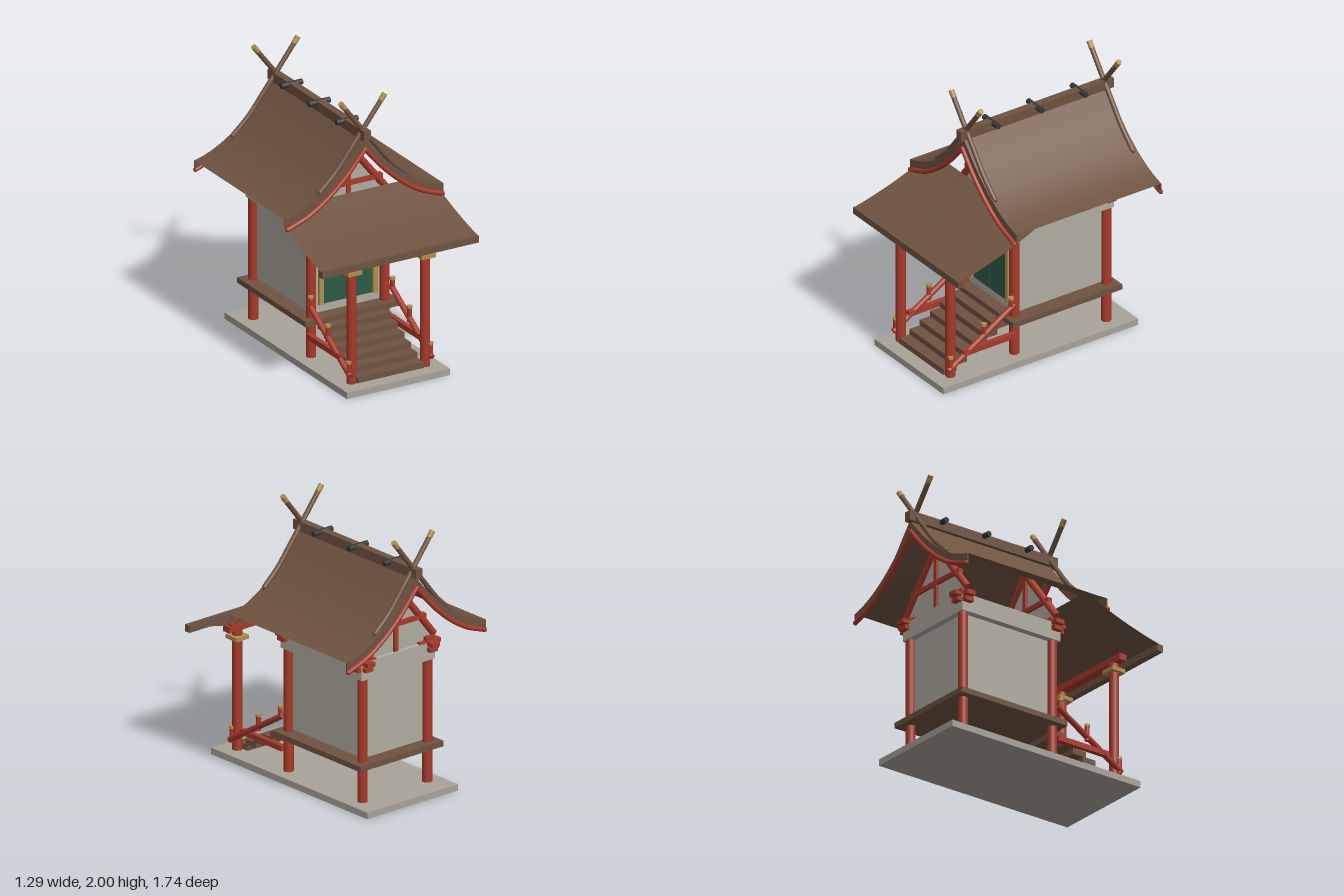
import * as THREE from 'three';

const mat = (name, color, side = THREE.FrontSide) => {
  const m = new THREE.MeshStandardMaterial({ color, side });
  m.name = name;
  return m;
};

export function createModel() {
  const root = new THREE.Group();
  root.name = 'shrine';
  root.rotation.y = 0.008;

  const red = mat('vermilion wood', 0xa83a2a);
  const brown = mat('brown wood', 0x6e5340, THREE.DoubleSide);
  const plaster = mat('pale plaster', 0xb0aca0, THREE.DoubleSide);
  const stone = mat('stone', 0xa8a398);
  const gold = mat('gold metal', 0xb0904a);
  const green = mat('green door paint', 0x2c5a45);
  const dark = mat('dark wood', 0x333836);

  const V = (x, y, z) => new THREE.Vector3(x, y, z);
  const add = (name, geo, m, x = 0, y = 0, z = 0) => {
    const mesh = new THREE.Mesh(geo, m);
    mesh.name = name;
    mesh.position.set(x, y, z);
    root.add(mesh);
    return mesh;
  };
  // box given by its min and max on every axis
  const box = (name, m, x0, x1, y0, y1, z0, z1) =>
    add(name, new THREE.BoxGeometry(x1 - x0, y1 - y0, z1 - z0), m,
      (x0 + x1) / 2, (y0 + y1) / 2, (z0 + z1) / 2);
  // round bar between two points
  const bar = (name, m, a, b, r, sides = 16) => {
    const d = b.clone().sub(a);
    const mesh = add(name, new THREE.CylinderGeometry(r, r, d.length(), sides), m,
      ...a.clone().add(b).multiplyScalar(0.5).toArray());
    mesh.quaternion.setFromUnitVectors(V(0, 1, 0), d.normalize());
    return mesh;
  };
  // curved pole with rounded ends
  const pole = (name, m, pts, r) => {
    add(name, new THREE.TubeGeometry(new THREE.CatmullRomCurve3(pts), 24, r, 10), m);
    for (const p of [pts[0], pts[pts.length - 1]])
      add(name + 'End', new THREE.SphereGeometry(r, 10, 8), m, p.x, p.y, p.z);
  };

  const FRONT = 0.16, BACK = -0.615, PX = 0.295;

  // platform, deck and walls
  box('platform', stone, -0.413, 0.413, 0, 0.048, -0.8, 0.84);
  box('deck', brown, -0.38, 0.38, 0.305, 0.345, -0.69, 0.23);
  box('wall', plaster, -0.285, 0.285, 0.358, 0.955, BACK + 0.01, FRONT - 0.01);
  box('wallPlate', plaster, -0.335, 0.335, 0.955, 1.085, -0.652, 0.2);

  // doors with gold jambs
  for (const s of [-1, 1]) {
    const door = box('door', green, 0, 0.193, 0.418, 0.887, FRONT - 0.01, FRONT - 0.002);
    door.position.x = s * 0.1;
    const jamb = box('doorJamb', gold, 0, 0.035, 0.415, 0.892, FRONT - 0.01, FRONT + 0.012);
    jamb.position.x = s * 0.216;
  }

  for (const s of [-1, 1]) {
    const x = s * PX;
    // main pillars with crossed bracket arms
    for (const z of [FRONT, BACK]) {
      bar('pillar', red, V(x, 0.045, z), V(x, 0.957, z), 0.035, 20);
      for (const [y, half] of [[1.038, 0.075], [1.08, 0.095]]) {
        box('bracketArm', red, x - half, x + half, y - 0.016, y + 0.016, z - 0.035, z + 0.035);
        box('bracketArm', red, x - 0.035, x + 0.035, y - 0.015, y + 0.015, z - half, z + half);
      }
      box('bracketBlock', red, x - 0.035, x + 0.035, 1.09, 1.125, z - 0.035, z + 0.035);
      // gable brace
      bar('gableBrace', red, V(s * 0.35, 1.13, z), V(0, 1.57, z), 0.026);
    }
    // porch pillars with gold capitals
    bar('porchPillar', red, V(x, 0.045, 0.7), V(x, 0.94, 0.7), 0.035, 20);
    box('porchCapital', gold, x - 0.056, x + 0.056, 0.866, 0.895, 0.643, 0.757);

    // stair railing
    const rx = s * 0.328;
    bar('handrail', red, V(rx, 0.115, 0.74), V(rx, 0.455, 0.185), 0.021);
    box('lowerRail', red, rx - 0.018, rx + 0.018, 0.195, 0.235, 0.18, 0.62);
    for (const [z, y0, y1] of [[0.72, 0.1, 0.205], [0.44, 0.27, 0.375], [0.21, 0.43, 0.505]]) {
      bar('railPost', red, V(rx, y0, z), V(rx, y1, z), 0.017, 12);
      bar('railPostCap', gold, V(rx, y1, z), V(rx, y1 + 0.018, z), 0.02, 12);
    }
  }
  box('porchBeam', red, -0.395, 0.395, 0.935, 0.982, 0.668, 0.732);

  // stairs
  for (let i = 0; i < 6; i++) {
    const z = 0.735 - i * 0.086, y = 0.048 + i * 0.043;
    box('step', brown, -0.265, 0.265, y, y + 0.043, z - 0.11, z);
  }

  // gable ends
  for (const z of [FRONT, BACK]) {
    const tri = new THREE.Shape([[-0.34, 1.08], [0.34, 1.08], [0.34, 1.13], [0, 1.57], [-0.34, 1.13]]
      .map(p => new THREE.Vector2(...p)));
    add('gableWall', new THREE.ShapeGeometry(tri), plaster, 0, 0, z);
    box('gableCollar', red, -0.27, 0.27, 1.268, 1.302, z - 0.02, z + 0.02);
    box('kingPost', red, -0.016, 0.016, 1.085, 1.515, z - 0.018, z + 0.018);
  }

  // main roof: two concave sheets
  const HALF = 0.635, roofY = x => 1.69 - 1.264 * Math.abs(x) + 0.826 * x * x;
  const Z0 = -0.84, Z1 = 0.38;
  for (const s of [-1, 1]) {
    const g = new THREE.PlaneGeometry(HALF, Z1 - Z0, 20, 1).rotateX(-Math.PI / 2);
    g.translate(s * HALF / 2, 0, (Z0 + Z1) / 2);
    const p = g.attributes.position;
    for (let i = 0; i < p.count; i++) p.setY(i, roofY(p.getX(i)));
    g.computeVertexNormals();
    add('roofSlope', g, brown);
  }

  // gable edges: brown fascia above a red bargeboard
  const xs = Array.from({ length: 33 }, (_, i) => -HALF + (2 * HALF * i) / 32);
  const strip = new THREE.Shape([
    ...xs.map(x => new THREE.Vector2(x, roofY(x) - 0.065)),
    ...xs.slice().reverse().map(x => new THREE.Vector2(x, roofY(x))),
  ]);
  for (const [z, tz] of [[Z1 - 0.008, 0.39], [Z0, -0.842]]) {
    add('roofFascia', new THREE.ExtrudeGeometry(strip, { depth: 0.008, bevelEnabled: false }), brown, 0, 0, z);
    for (const s of [-1, 1]) {
      const pts = [0, 0.15, 0.3, 0.45, 0.622].map(x => V(s * x, roofY(x) - 0.074, tz));
      pole('bargeboard', red, pts, 0.017);
    }
  }

  // porch roof sheet with eave board
  const porch = new THREE.PlaneGeometry(2 * 0.628, 0.65, 1, 16).rotateX(-Math.PI / 2);
  porch.translate(0, 0, 0.525);
  const pp = porch.attributes.position;
  for (let i = 0; i < pp.count; i++) {
    const t = (pp.getZ(i) - 0.2) / 0.65;
    pp.setY(i, 1.222 - 0.3 * t + 0.083 * t * t);
  }
  porch.computeVertexNormals();
  add('porchRoof', porch, brown);
  box('porchEave', brown, -0.628, 0.628, 0.955, 1.006, 0.818, 0.867);

  // ridge beam with cross logs
  box('ridgeBeam', brown, -0.028, 0.028, 1.69, 1.762, -0.87, 0.42);
  for (const z of [0.145, -0.225, -0.595])
    bar('ridgeLog', dark, V(-0.085, 1.745, z), V(0.085, 1.745, z), 0.02);

  // crossed finials that run down onto the roof
  for (const z of [0.358, -0.805])
    for (const s of [-1, 1]) {
      pole('crossedFinial', brown, [V(s * 0.145, 1.94, z), V(0, 1.752, z), V(-s * 0.1, 1.625, z),
        V(-s * 0.22, 1.475, z), V(-s * 0.345, 1.358, z)], 0.018);
      bar('finialTip', gold, V(s * 0.146, 1.942, z), V(s * 0.178, 1.985, z), 0.02);
    }

  const model = new THREE.Group();
  model.name = 'model';
  model.add(root);
  return model;
}
